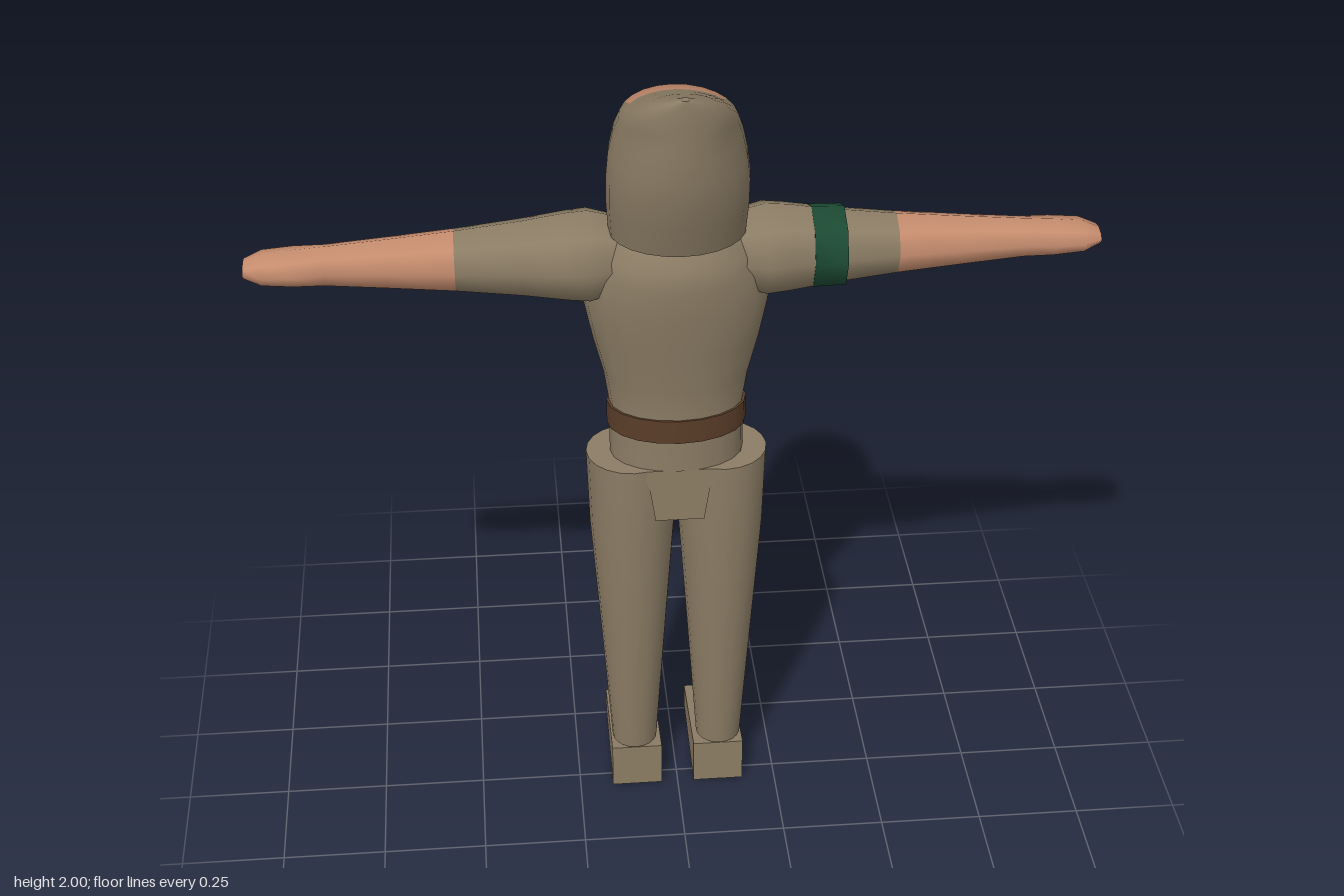
import * as THREE from 'three';

const mat = (name, color, side = THREE.FrontSide) => {
  const m = new THREE.MeshStandardMaterial({ color, side });
  m.name = name;
  return m;
};

// Loft of ellipses stacked along y. Each ring is [y, radiusX, radiusZ, centreZ].
// isSecond(row, column) picks the faces that take the second material.
function loft(rings, n, isSecond = () => false) {
  const pos = [], first = [], second = [];
  const addRing = ([y, rx, rz, cz = 0]) => {
    const start = pos.length / 3;
    for (let i = 0; i < n; i++) {
      const a = (i / n) * Math.PI * 2;
      pos.push(rx * Math.sin(a), y, cz - rz * Math.cos(a));
    }
    return start;
  };
  rings.forEach(addRing);
  for (let j = 0; j < rings.length - 1; j++) {
    for (let i = 0; i < n; i++) {
      const k = (i + 1) % n, lo = j * n, hi = lo + n;
      (isSecond(j, i) ? second : first).push(lo + k, lo + i, hi + i, lo + k, hi + i, hi + k);
    }
  }
  // Flat end caps with their own corners, so that the rims stay sharp
  const last = rings.length - 1;
  for (const j of [0, last]) {
    const s = addRing(rings[j]), c = pos.length / 3;
    pos.push(0, rings[j][0], rings[j][3] || 0);
    const target = j === last && isSecond(j - 1, 0) ? second : first;
    for (let i = 0; i < n; i++) {
      const k = (i + 1) % n;
      if (j) target.push(c, s + k, s + i);
      else target.push(c, s + i, s + k);
    }
  }
  const g = new THREE.BufferGeometry();
  g.setAttribute('position', new THREE.Float32BufferAttribute(pos, 3));
  g.setIndex([...first, ...second]);
  g.addGroup(0, first.length, 0);
  g.addGroup(first.length, second.length, 1);
  g.computeVertexNormals();
  return g;
}

// Outline pushed out along z, centred on z = 0
function prism(points, depth) {
  const shape = new THREE.Shape(points.map(([x, y]) => new THREE.Vector2(x, y)));
  return new THREE.ExtrudeGeometry(shape, { depth, bevelEnabled: false }).translate(0, 0, -depth / 2);
}

export function createModel() {
  const cloth = mat('khaki cloth', 0x8c7d65);
  const skin = mat('skin', 0xc58c6e);
  const leather = mat('brown leather', 0x5a3d28);
  const green = mat('green band', 0x1c4a33);
  const model = new THREE.Group();
  model.name = 'hoodedFigure';
  const add = (name, geometry, material, parent = model) => {
    const mesh = new THREE.Mesh(geometry, material);
    mesh.name = name;
    parent.add(mesh);
    return mesh;
  };

  // Torso, belt and crotch
  add('torso', loft([
    [1.0, 0.158, 0.108], [1.14, 0.158, 0.108], [1.22, 0.17, 0.115], [1.32, 0.195, 0.132],
    [1.42, 0.215, 0.148], [1.5, 0.205, 0.156], [1.55, 0.185, 0.152], [1.6, 0.155, 0.122],
    [1.63, 0.13, 0.1],
  ], 20), cloth);
  add('belt', loft([[1.08, 0.164, 0.113], [1.14, 0.164, 0.113]], 20), leather);
  add('crotch', prism([[-0.085, 1.0], [-0.07, 0.94], [-0.058, 0.86],
    [0.058, 0.86], [0.07, 0.94], [0.085, 1.0]], 0.208), cloth);

  // Hood sweeping back to a point, with the face set into its front
  const faceHalfWidth = { 2: 3, 3: 5, 4: 5, 5: 4 };
  add('hoodAndFace', loft([
    [1.6, 0.155, 0.138, 0.027], [1.68, 0.16, 0.152, 0.04], [1.745, 0.16, 0.162, 0.05],
    [1.8, 0.154, 0.18, 0.042], [1.85, 0.143, 0.18, 0.046], [1.89, 0.13, 0.166, 0.062],
    [1.91, 0.12, 0.13, 0.098], [1.94, 0.1, 0.092, 0.138], [1.97, 0.07, 0.053, 0.177],
    [1.99, 0.035, 0.022, 0.208], [2.0, 0.01, 0.01, 0.218],
  ], 24, (j, i) => Math.min(i, 23 - i) < (faceHalfWidth[j] || 0)), [cloth, skin]);

  // Arms run outward from the shoulders: sleeve first, then bare forearm and hand
  const armGeometry = loft([
    [0.1, 0.08, 0.075], [0.15, 0.097, 0.095], [0.2, 0.11, 0.112], [0.25, 0.106, 0.105],
    [0.35, 0.09, 0.092], [0.5, 0.072, 0.076], [0.65, 0.058, 0.064], [0.79, 0.046, 0.053],
    [0.86, 0.041, 0.061], [0.93, 0.034, 0.058], [0.97, 0.016, 0.038],
  ], 8, (j) => j >= 5);
  const legGeometry = loft([
    [0.13, 0.056, 0.056], [0.5, 0.081, 0.085], [0.8, 0.102, 0.104], [1.0, 0.108, 0.109],
  ], 20);
  // Wedge foot with its toe toward -z
  const footGeometry = prism([[-0.045, 0], [0.23, 0.03], [0.23, 0.092], [-0.045, 0.12]], 0.126)
    .rotateY(Math.PI / 2);

  for (const [side, s] of [['left', 1], ['right', -1]]) {
    const arm = new THREE.Group();
    arm.name = side + 'Arm';
    arm.position.y = 1.528;
    arm.rotation.z = -s * Math.PI / 2;
    model.add(arm);
    add(side + 'SleeveAndHand', armGeometry, [cloth, skin], arm);
    if (s > 0) add('armband', loft([[0.305, 0.098, 0.1], [0.38, 0.096, 0.098]], 8), green, arm);

    add(side + 'Leg', legGeometry, cloth).position.x = s * 0.107;
    add(side + 'Foot', footGeometry, cloth).position.x = s * 0.104;
  }
  return model;
}
